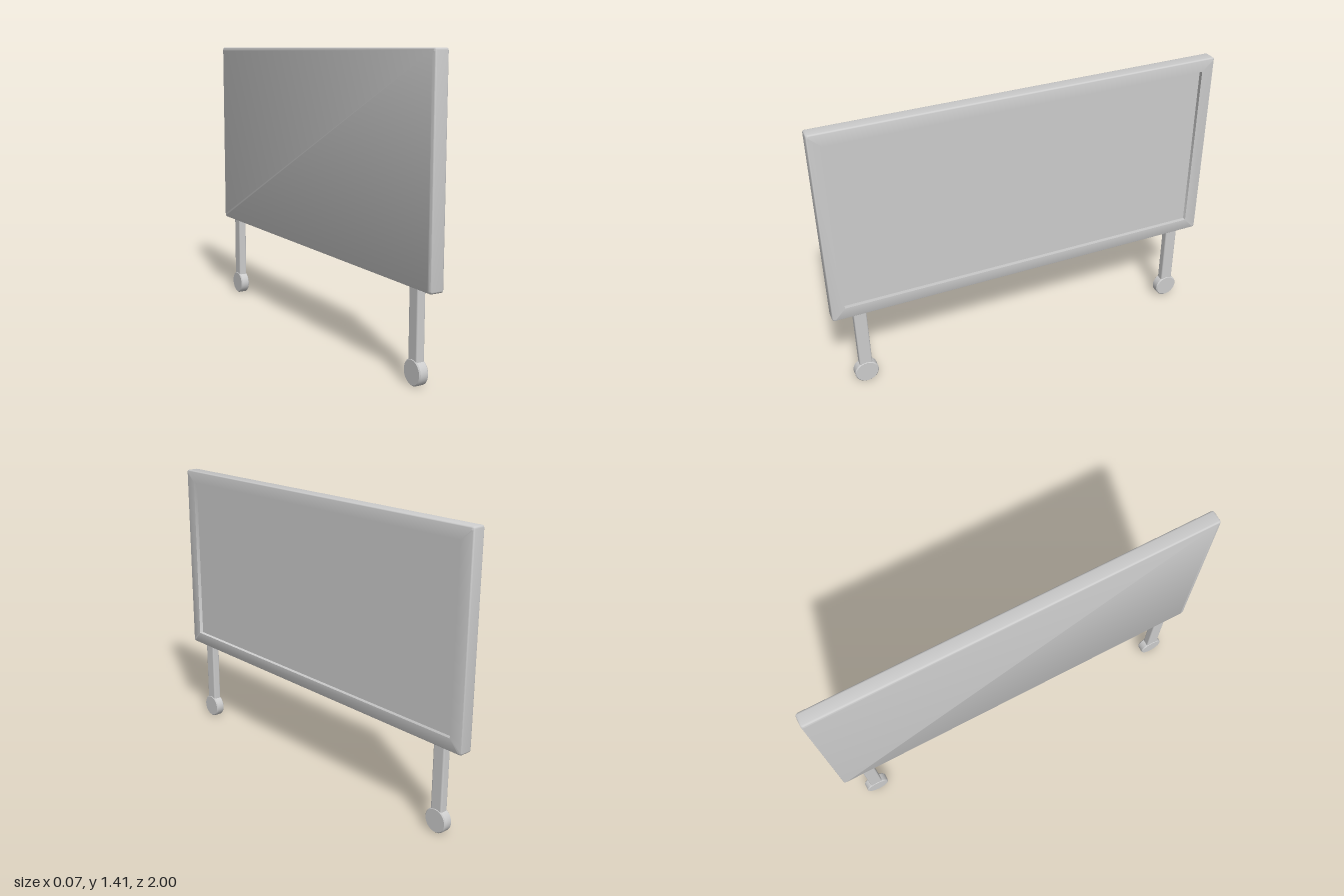
import * as THREE from 'three';
import { RoundedBoxGeometry } from 'three/addons/geometries/RoundedBoxGeometry.js';
import { toCreasedNormals } from 'three/addons/utils/BufferGeometryUtils.js';

const grey = new THREE.MeshStandardMaterial({ color: 0xcccccc });
const BOTTOM = 0.43, TOP = 1.415, HALF_X = 0.035, HALF_Z = 1;
const MID_Y = (BOTTOM + TOP) / 2, HALF_Y = (TOP - BOTTOM) / 2;

function add(parent, geometry, name) {
  const mesh = new THREE.Mesh(geometry, grey);
  mesh.name = name;
  parent.add(mesh);
  return mesh;
}

// Points of a rounded rectangle in the YZ plane, counter-clockwise seen from +x.
function rectRing(x, halfZ, halfY, radius, steps = 4) {
  const ring = [];
  const corners = [[1, 1], [-1, 1], [-1, -1], [1, -1]];
  corners.forEach(([sy, sz], i) => {
    for (let s = 0; s <= steps; s++) {
      const a = (i + s / steps) * Math.PI / 2;
      ring.push([
        x,
        MID_Y + sy * (halfY - radius) + Math.cos(a) * radius,
        sz * (halfZ - radius) + Math.sin(a) * radius,
      ]);
    }
  });
  return ring;
}

// Closed panel skin: back, rounded rim, front border, recess wall and floor.
function panelGeometry() {
  const r = 0.01, rings = [];
  const outer = (x, inset) => rings.push(rectRing(x, HALF_Z - inset, HALF_Y - inset, r));
  for (let i = 0; i <= 4; i++) {
    const a = i * Math.PI / 8;
    outer(-HALF_X + r * (1 - Math.sin(a)), r * (1 - Math.cos(a)));
  }
  rings.reverse();
  for (let i = 0; i <= 4; i++) {
    const a = i * Math.PI / 8;
    outer(HALF_X - r * (1 - Math.sin(a)), r * (1 - Math.cos(a)));
  }
  rings.push(rectRing(HALF_X, 0.935, 0.43, 0.0005));
  rings.push(rectRing(HALF_X - 0.02, 0.935, 0.43, 0.0005));

  const n = rings[0].length, positions = rings.flat(2), index = [];
  for (let k = 0; k < rings.length - 1; k++) {
    for (let i = 0; i < n; i++) {
      const j = (i + 1) % n, a = k * n + i, b = k * n + j;
      index.push(a, b, b + n, a, b + n, a + n);
    }
  }
  // Flat caps: the back face and the recessed board
  const last = (rings.length - 1) * n;
  for (let i = 1; i < n - 1; i++) {
    index.push(0, i + 1, i);
    index.push(last, last + i, last + i + 1);
  }
  const geometry = new THREE.BufferGeometry();
  geometry.setAttribute('position', new THREE.Float32BufferAttribute(positions, 3));
  geometry.setIndex(index);
  return toCreasedNormals(geometry, 0.6);
}

// Round foot: a disc with softened edges, its axis along x
function footGeometry() {
  const R = 0.06, h = 0.0235, b = 0.005;
  const profile = [[0, -h], [R - b, -h], [R, -h + b], [R, h - b], [R - b, h], [0, h]]
    .map(([x, y]) => new THREE.Vector2(x, y));
  return toCreasedNormals(new THREE.LatheGeometry(profile, 32).rotateZ(Math.PI / 2), 0.6);
}

export function createModel() {
  const model = new THREE.Group();
  model.name = 'boardOnLegs';
  add(model, panelGeometry(), 'framedPanel');

  for (const side of [1, -1]) {
    const leg = new THREE.Group();
    leg.name = side > 0 ? 'frontLeg' : 'backLeg';
    leg.position.z = side * 0.865;
    add(leg, new RoundedBoxGeometry(0.042, 0.4, 0.064, 3, 0.008), 'post').position.y = 0.25;
    add(leg, footGeometry(), 'foot').position.y = 0.06;
    model.add(leg);
  }
  return model;
}
